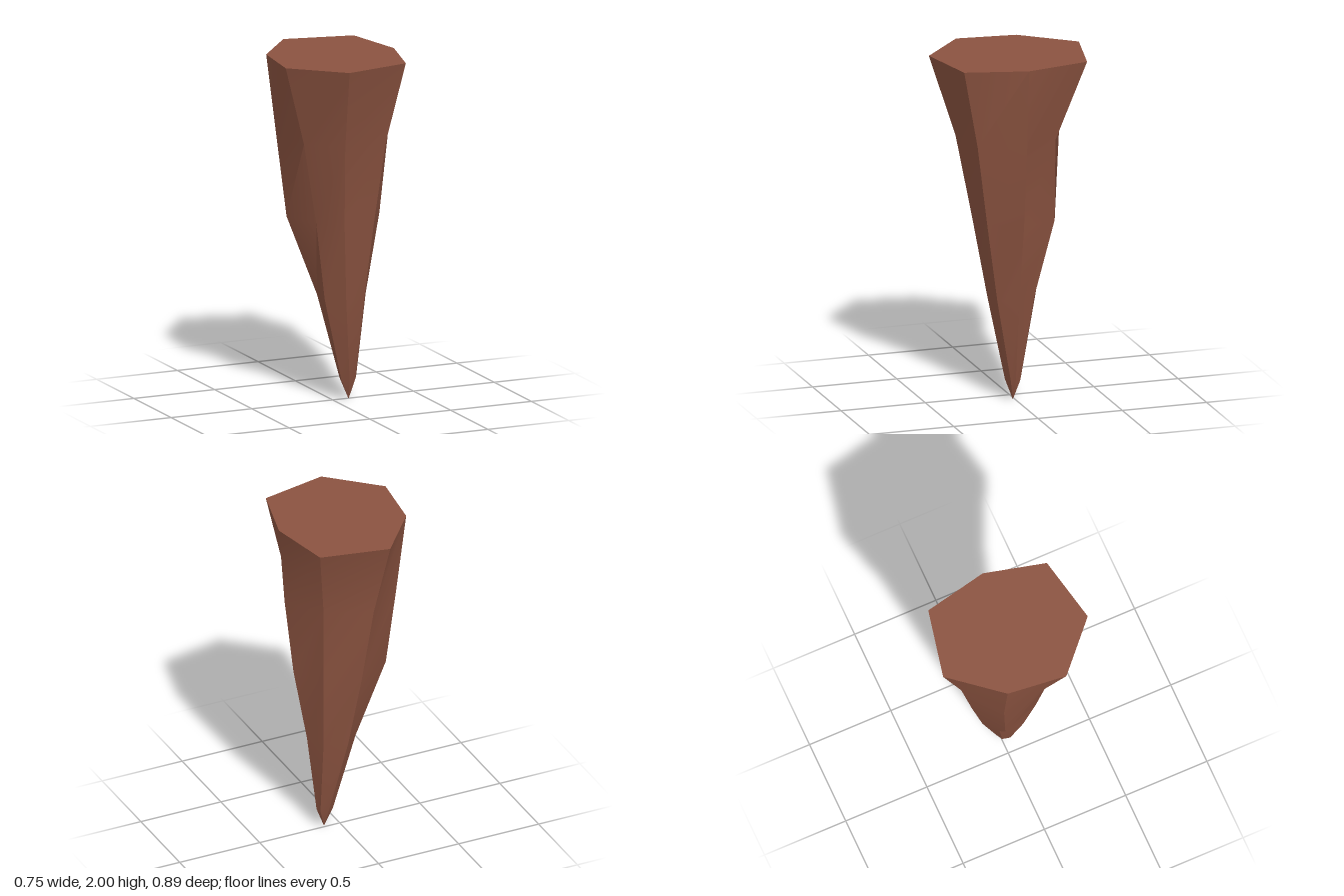
import * as THREE from 'three';
import { toCreasedNormals } from 'three/addons/utils/BufferGeometryUtils.js';

// Seven-sided cross-sections from top to bottom: height and [x, z] corners
const sections = [
  { y: 2.0, ring: [[-0.10, -0.445], [0.297, -0.36], [0.375, 0.01], [0.285, 0.365], [-0.10, 0.445], [-0.378, 0.19], [-0.34, -0.155]] },
  { y: 1.53, ring: [[-0.06, -0.315], [0.2, -0.205], [0.34, 0.01], [0.21, 0.26], [-0.06, 0.30], [-0.235, 0.125], [-0.28, -0.15]] },
  { y: 1.06, ring: [[-0.025, -0.235], [0.2, -0.2], [0.285, 0.01], [0.17, 0.19], [-0.025, 0.215], [-0.15, 0.105], [-0.23, -0.12]] },
  { y: 0.6, ring: [[0.02, -0.15], [0.147, -0.095], [0.2, 0.01], [0.14, 0.12], [0.02, 0.14], [-0.075, 0.057], [-0.06, -0.08]] },
  { y: 0.12, ring: [[0.085, -0.035], [0.13, -0.02], [0.14, 0.01], [0.125, 0.035], [0.08, 0.055], [0.04, 0.03], [0.05, -0.015]] },
];
const tip = [0.093, 0, 0.012];

function spikeGeometry() {
  const sides = 7;
  const positions = [];
  const index = [];
  for (const { y, ring } of sections) {
    for (const [x, z] of ring) positions.push(x, y, z);
  }
  positions.push(...tip);
  const tipIndex = sections.length * sides;

  // Faceted walls
  for (let s = 0; s < sections.length - 1; s++) {
    for (let i = 0; i < sides; i++) {
      const j = (i + 1) % sides;
      const a = s * sides + i, b = s * sides + j;
      index.push(a, b, b + sides, a, b + sides, a + sides);
    }
  }
  // Point at the bottom
  const last = tipIndex - sides;
  for (let i = 0; i < sides; i++) index.push(last + i, last + (i + 1) % sides, tipIndex);
  // Flat cap at the top
  for (let i = 1; i < sides - 1; i++) index.push(0, i + 1, i);

  const geometry = new THREE.BufferGeometry();
  geometry.setAttribute('position', new THREE.Float32BufferAttribute(positions, 3));
  geometry.setIndex(index);
  return toCreasedNormals(geometry, THREE.MathUtils.degToRad(30));
}

export function createModel() {
  const model = new THREE.Group();
  model.name = 'stalactite';
  const brownRock = new THREE.MeshStandardMaterial({ color: 0x8b5340 });
  brownRock.name = 'brown rock';
  const spike = new THREE.Mesh(spikeGeometry(), brownRock);
  spike.name = 'rockSpike';
  model.add(spike);
  return model;
}
